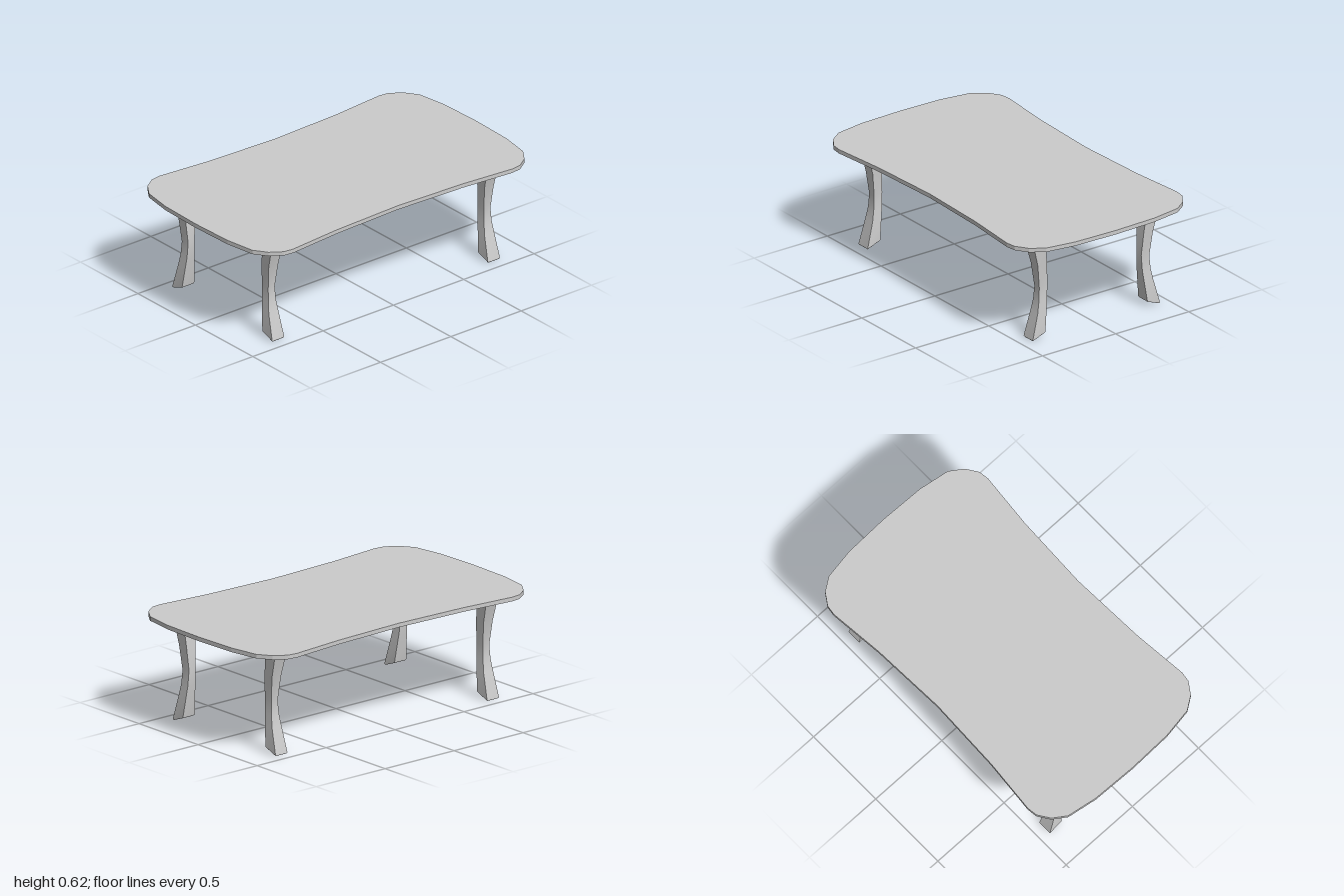
import * as THREE from 'three';

const material = new THREE.MeshStandardMaterial({ color: 0xcccccc });

// One quarter of the top's outline [x, z], from the middle of the long edge to the middle of the short edge
const QUARTER = [
  [0, 0.533], [0.45, 0.551], [0.78, 0.582], [0.84, 0.574], [0.91, 0.527],
  [0.963, 0.45], [0.992, 0.27], [1, 0],
];

// Leg sections from foot to top: half width, outer z, outer y, inner z, inner y
const SECTIONS = [
  [0.038, 0.426, 0.0, 0.349, 0.029],
  [0.043, 0.43, 0.006, 0.344, 0.036],
  [0.034, 0.39, 0.153, 0.331, 0.14],
  [0.027, 0.377, 0.22, 0.321, 0.22],
  [0.023, 0.371, 0.3, 0.316, 0.31],
  [0.033, 0.388, 0.44, 0.325, 0.44],
  [0.042, 0.429, 0.602, 0.344, 0.602],
];

// Thin slab with waisted long edges and rounded corners
function createTop() {
  const back = [...QUARTER].reverse();
  const outline = [
    ...QUARTER,
    ...back.slice(1).map(([x, z]) => [x, -z]),
    ...QUARTER.slice(1).map(([x, z]) => [-x, -z]),
    ...back.slice(1, -1).map(([x, z]) => [-x, z]),
  ];
  const shape = new THREE.Shape(outline.map(([x, z]) => new THREE.Vector2(x, z)));
  const geometry = new THREE.ExtrudeGeometry(shape, { depth: 0.024, bevelEnabled: false });
  geometry.rotateX(-Math.PI / 2);
  const top = new THREE.Mesh(geometry, material);
  top.name = 'tableTop';
  top.position.y = 0.6;
  return top;
}

// Box whose rows are moved onto the curved leg sections
function createLegGeometry() {
  const rows = SECTIONS.length - 1;
  const geometry = new THREE.BoxGeometry(1, 1, 1, 1, rows, 1);
  const p = geometry.attributes.position;
  for (let i = 0; i < p.count; i++) {
    const [half, outerZ, outerY, innerZ, innerY] = SECTIONS[Math.round((p.getY(i) + 0.5) * rows)];
    const outer = p.getZ(i) > 0;
    p.setXYZ(i, Math.sign(p.getX(i)) * half, outer ? outerY : innerY, outer ? outerZ : innerZ);
  }
  geometry.computeVertexNormals();
  return geometry;
}

export function createModel() {
  const table = new THREE.Group();
  table.name = 'table';
  table.add(createTop());

  // Four legs, feet kicking out to front and back
  const legGeometry = createLegGeometry();
  for (const end of ['front', 'back']) {
    for (const side of ['Left', 'Right']) {
      const leg = new THREE.Mesh(legGeometry, material);
      leg.name = `${end}${side}Leg`;
      leg.position.set((side === 'Left' ? 0.767 : -0.767) + 0.005, 0, end === 'front' ? 0 : -0.01);
      if (end === 'back') leg.rotation.y = Math.PI;
      table.add(leg);
    }
  }
  return table;
}
